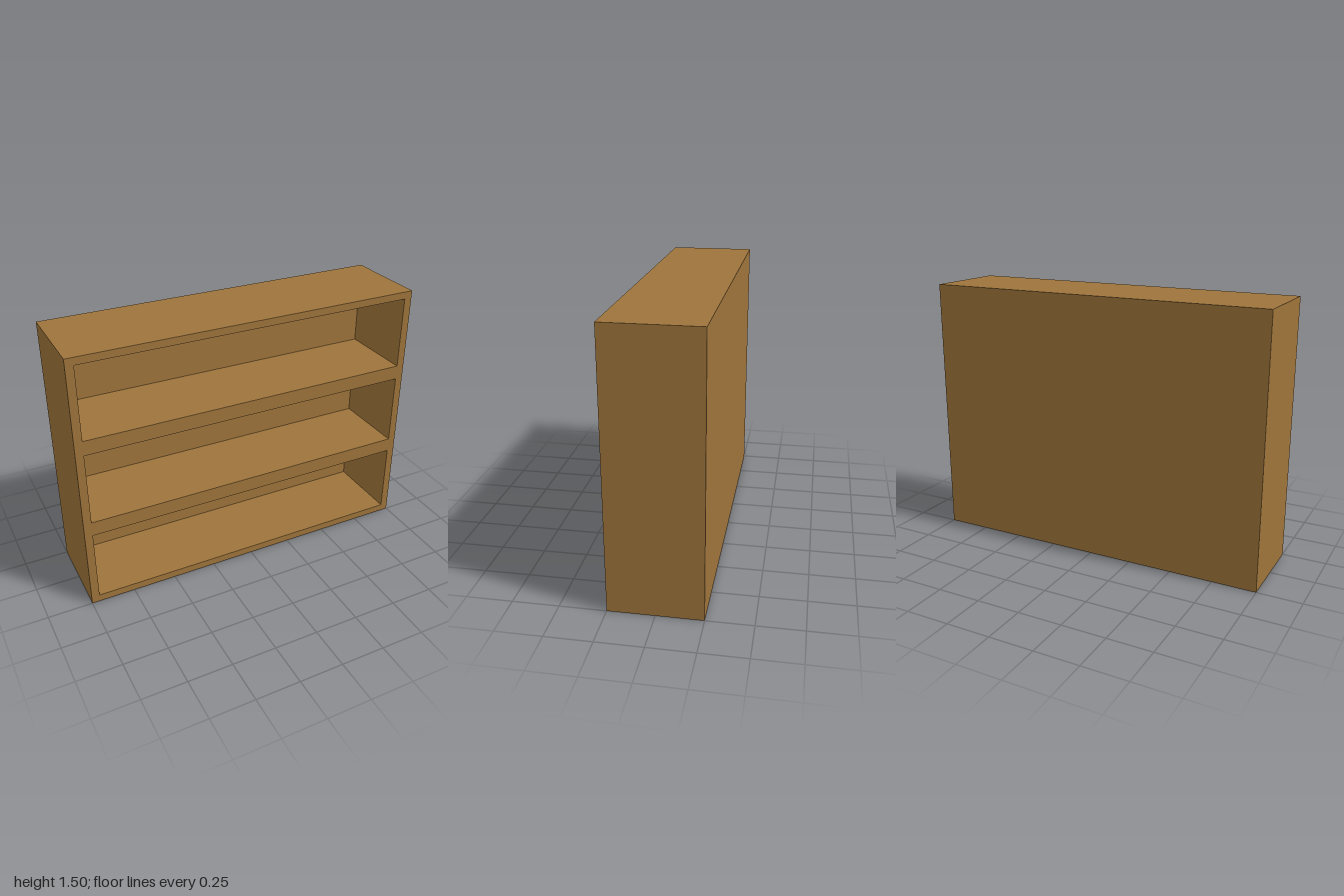
import * as THREE from 'three';

const WIDTH = 2, HEIGHT = 1.5, DEPTH = 0.5;
const SIDE = 0.045, BOARD = 0.042, BACK = 0.0625, BAYS = 3;

function rectangle(path, x0, y0, x1, y1) {
  path.moveTo(x0, y0);
  path.lineTo(x1, y0);
  path.lineTo(x1, y1);
  path.lineTo(x0, y1);
  path.closePath();
  return path;
}

export function createModel() {
  const group = new THREE.Group();
  group.name = 'bookcase';
  const wood = new THREE.MeshStandardMaterial({ color: 0x9e743b });
  wood.name = 'brown wood';

  // Carcass: sides, top, bottom and shelves around three open bays
  const outline = rectangle(new THREE.Shape(), -WIDTH / 2, 0, WIDTH / 2, HEIGHT);
  const bay = HEIGHT / BAYS;
  for (let i = 0; i < BAYS; i++) {
    outline.holes.push(rectangle(new THREE.Path(),
      -WIDTH / 2 + SIDE, i * bay + BOARD, WIDTH / 2 - SIDE, (i + 1) * bay - BOARD));
  }
  const carcass = new THREE.Mesh(
    new THREE.ExtrudeGeometry(outline, { depth: DEPTH - BACK, bevelEnabled: false }), wood);
  carcass.name = 'shelfCarcass';
  carcass.position.z = -DEPTH / 2 + BACK;
  group.add(carcass);

  // Back panel closing the bays
  const back = new THREE.Mesh(new THREE.BoxGeometry(WIDTH, HEIGHT, BACK), wood);
  back.name = 'backPanel';
  back.position.set(0, HEIGHT / 2, -DEPTH / 2 + BACK / 2);
  group.add(back);

  return group;
}
